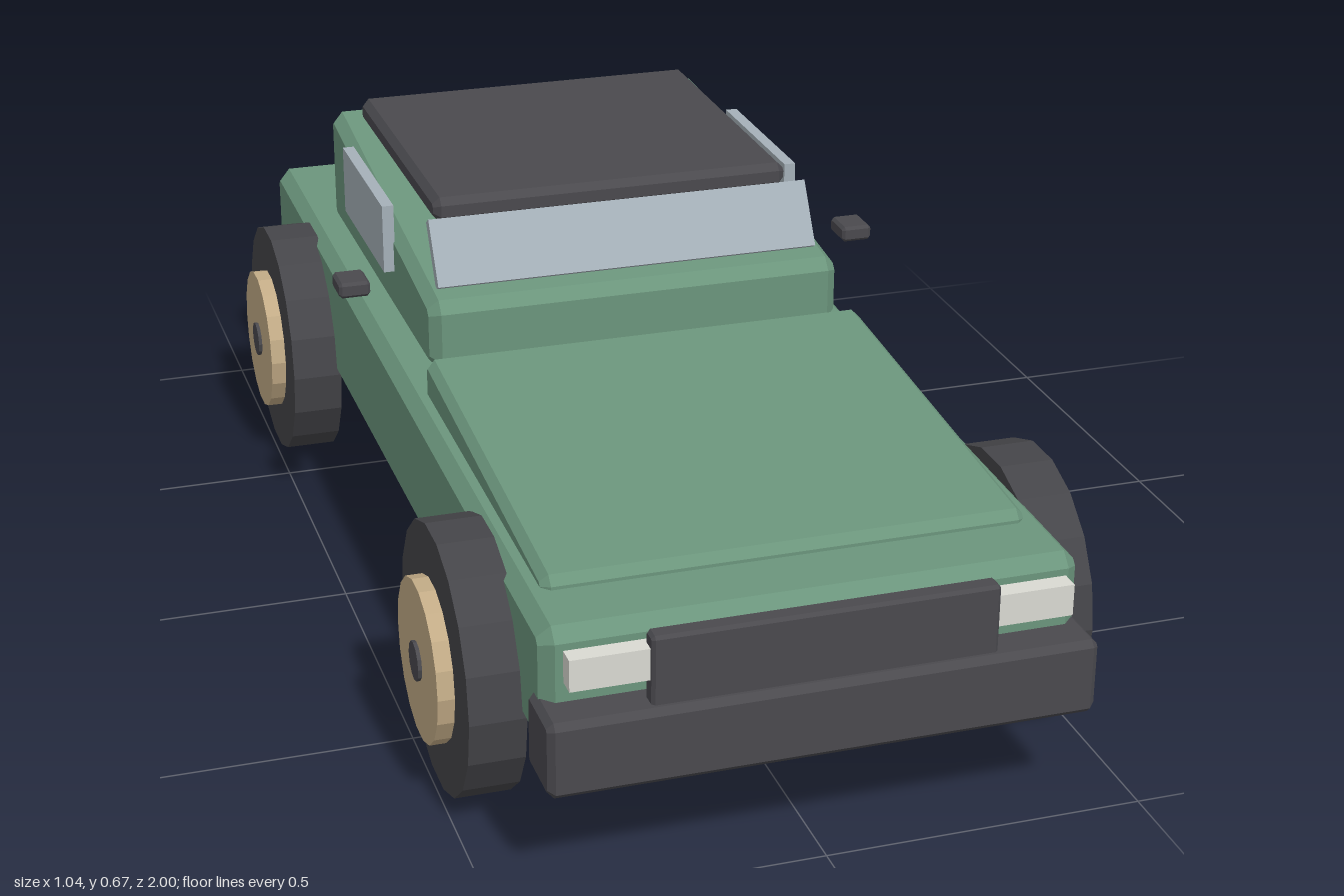
import * as THREE from 'three';

const paint = (color) => new THREE.MeshStandardMaterial({ color, flatShading: true });

// Side profile given as [z, y] corners (counter-clockwise), corners cut by c,
// extruded across x to the full width w with chamfered edges.
function chamferedProfile(points, w, c) {
  const corners = points.map(([z, y]) => new THREE.Vector2(z, y));
  const n = corners.length;
  const cut = [];
  corners.forEach((p, i) => {
    for (const q of [corners[(i + n - 1) % n], corners[(i + 1) % n]]) {
      cut.push(p.clone().add(q.clone().sub(p).setLength(c)));
    }
  });
  const geo = new THREE.ExtrudeGeometry(new THREE.Shape(cut), {
    depth: w - 2 * c, bevelEnabled: true, bevelThickness: c,
    bevelSize: c, bevelOffset: -c, bevelSegments: 1,
  });
  geo.translate(0, 0, -(w - 2 * c) / 2);
  geo.rotateY(-Math.PI / 2);
  return geo;
}

// Chamfered block between z0..z1 and y0..y1
const block = (w, y0, y1, z0, z1, c) =>
  chamferedProfile([[z0, y0], [z1, y0], [z1, y1], [z0, y1]], w, c);

export function createModel() {
  const car = new THREE.Group();
  car.name = 'car';
  const green = paint(0x6b957c);
  const dark = paint(0x4a494e);
  const tyreMat = paint(0x454549);
  const tan = paint(0xc2ab86);
  const glass = paint(0xa5b0b8);
  const lamp = paint(0xd9d9d2);
  const red = paint(0xa8453f);

  function add(name, geo, mat, x = 0, y = 0, z = 0, parent = car) {
    const mesh = new THREE.Mesh(geo, mat);
    mesh.name = name;
    mesh.position.set(x, y, z);
    parent.add(mesh);
    return mesh;
  }

  // Main shell, bonnet and cabin
  add('body', chamferedProfile(
    [[-0.985, 0.2], [0.937, 0.2], [0.937, 0.4], [-0.985, 0.432]], 0.82, 0.02), green);
  add('bonnet', chamferedProfile(
    [[0.115, 0.385], [0.82, 0.385], [0.82, 0.42], [0.115, 0.474]], 0.75, 0.013), green);
  add('cabin', chamferedProfile(
    [[-0.695, 0.425], [0.08, 0.425], [0.08, 0.546], [-0.695, 0.638]], 0.71, 0.018), green);
  add('roof', block(0.62, 0.63, 0.674, -0.635, -0.065, 0.012), dark);
  add('chassis', block(0.78, 0.17, 0.212, -0.9, 0.79, 0.01), dark);

  // Windscreen leaning back
  const screen = add('windscreen', new THREE.BoxGeometry(0.66, 0.115, 0.02), glass, 0, 0.602, -0.005);
  screen.rotation.x = -0.55;

  // Nose and tail
  add('frontBumper', block(0.836, 0.167, 0.288, 0.885, 1, 0.01), dark);
  add('grille', block(0.526, 0.25, 0.396, 0.953, 0.985, 0.005), dark);
  add('tailLight', new THREE.BoxGeometry(0.61, 0.05, 0.02), red, 0, 0.375, -0.99);

  // Mirrored side parts
  for (const [side, s] of [['left', 1], ['right', -1]]) {
    add(side + 'Headlight', new THREE.BoxGeometry(0.13, 0.05, 0.03), lamp, s * 0.316, 0.35, 0.962);
    add(side + 'Window', new THREE.BoxGeometry(0.02, 0.12, 0.317), glass, s * 0.363, 0.567, -0.345);
    add(side + 'Mirror', block(0.053, 0.514, 0.541, -0.133, -0.07, 0.005), dark, s * 0.448);
  }

  // Wheels: tyre, hub and cap, axle along x
  const disc = (r, from, to, sides) =>
    new THREE.CylinderGeometry(r, r, to - from, sides).rotateZ(Math.PI / 2).translate((from + to) / 2, 0, 0);
  const tyreGeo = disc(0.211, 0.403, 0.49, 18);
  const hubGeo = disc(0.128, 0.41, 0.516, 18);
  const capGeo = disc(0.031, 0.45, 0.522, 12);
  for (const [end, z] of [['front', 0.623], ['rear', -0.665]]) {
    for (const [side, turn] of [['Left', 0], ['Right', Math.PI]]) {
      const wheel = new THREE.Group();
      wheel.name = end + side + 'Wheel';
      wheel.position.set(0, 0.208, z);
      wheel.rotation.y = turn;
      add('tyre', tyreGeo, tyreMat, 0, 0, 0, wheel);
      add('hub', hubGeo, tan, 0, 0, 0, wheel);
      add('hubCap', capGeo, dark, 0, 0, 0, wheel);
      car.add(wheel);
    }
  }
  return car;
}
